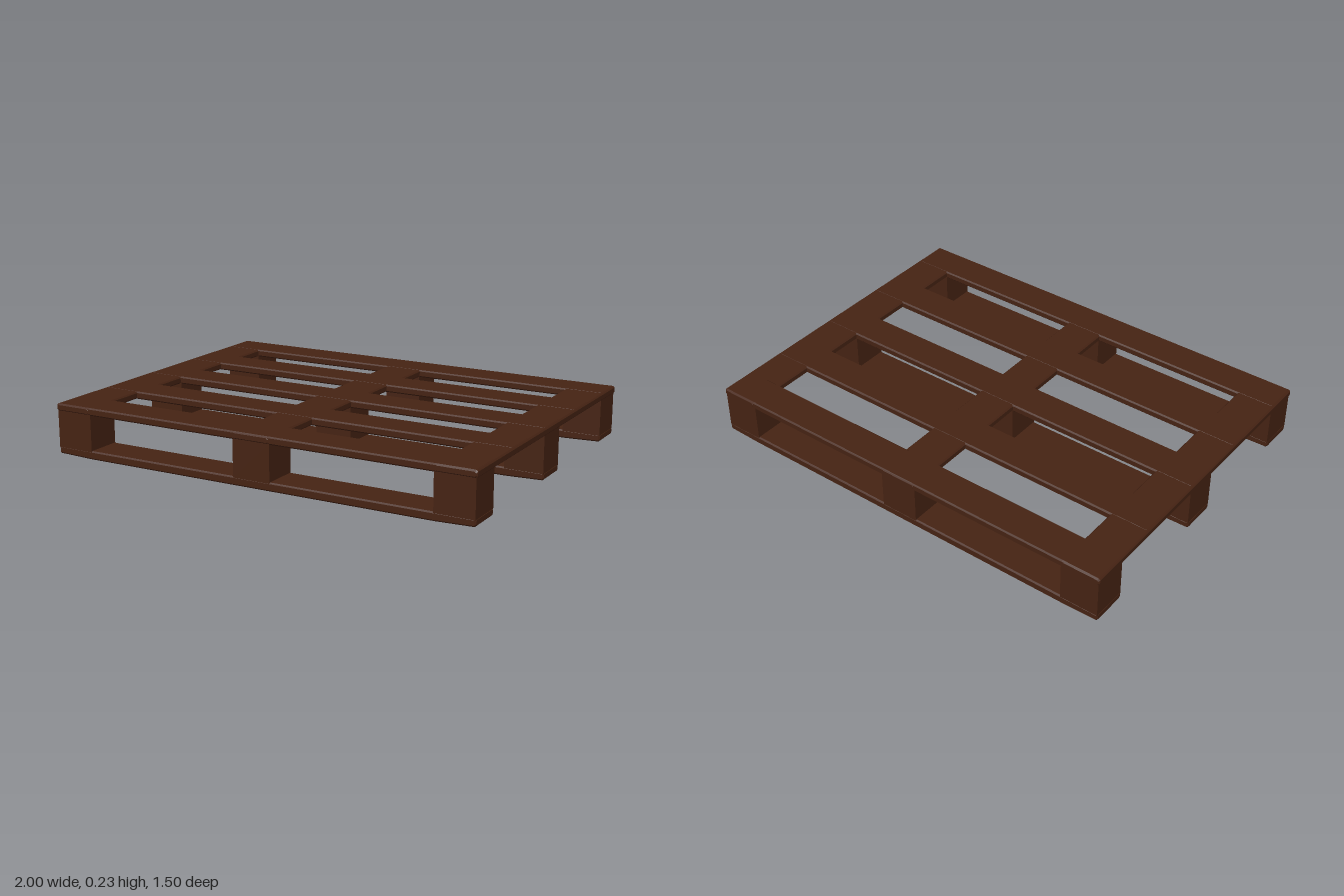
import * as THREE from 'three';

const wood = new THREE.MeshStandardMaterial({ color: 0x462313, flatShading: true });

// Chamfered plank along x, lofted through octagonal sections; tipLift thins the underside at both ends
function plankGeometry(length, thickness, width, chamfer, tipLift = 0) {
  const L = length / 2, h = thickness / 2, w = width / 2, c = chamfer;
  const stations = [
    [-L, c, tipLift], [-L + c, 0, tipLift], [-L + 0.17, 0, 0],
    [L - 0.17, 0, 0], [L - c, 0, tipLift], [L, c, tipLift],
  ];
  const position = [], index = [];
  for (const [x, inset, lift] of stations) {
    const t = h - inset, b = -h + inset + lift, s = w - inset;
    const ring = [[t, s - c], [t - c, s], [b + c, s], [b, s - c], [b, c - s], [b + c, -s], [t - c, -s], [t, c - s]];
    for (const [y, z] of ring) position.push(x, y, z);
  }
  const last = (stations.length - 1) * 8;
  for (let i = 0; i < last; i += 8) {
    for (let k = 0; k < 8; k++) {
      const n = (k + 1) % 8;
      index.push(i + k, i + n, i + 8 + n, i + k, i + 8 + n, i + 8 + k);
    }
  }
  for (let k = 1; k < 7; k++) index.push(0, k + 1, k, last, last + k, last + k + 1);
  const indexed = new THREE.BufferGeometry();
  indexed.setAttribute('position', new THREE.Float32BufferAttribute(position, 3));
  indexed.setIndex(index);
  const geometry = indexed.toNonIndexed();
  geometry.computeVertexNormals();
  return geometry;
}

export function createModel() {
  const group = new THREE.Group();
  const add = (name, geometry, x, y, z) => {
    const mesh = new THREE.Mesh(geometry, wood);
    mesh.name = name;
    mesh.position.set(x, y, z);
    group.add(mesh);
    return mesh;
  };

  // Five deck slats running side to side
  const slat = plankGeometry(1.99, 0.034, 0.162, 0.006);
  for (const z of [-0.668, -0.332, 0, 0.332, 0.668]) add('deckSlat', slat, 0, 0.213, z);

  // Three stringers running front to back, almost flush with the slats
  const stringer = plankGeometry(1.5, 0.032, 0.178, 0.006);
  for (const x of [-0.91, 0, 0.91]) add('deckStringer', stringer, x, 0.213, 0).rotation.y = Math.PI / 2;

  // Runners on the ground and the spacer blocks standing on them
  const runner = plankGeometry(1.99, 0.038, 0.164, 0.006, 0.005);
  const block = new THREE.BoxGeometry(0.175, 0.172, 0.162);
  for (const z of [-0.665, 0, 0.665]) {
    add('groundRunner', runner, 0, 0.019, z);
    for (const x of [-0.906, 0, 0.906]) add('spacerBlock', block, x, 0.116, z);
  }
  return group;
}
